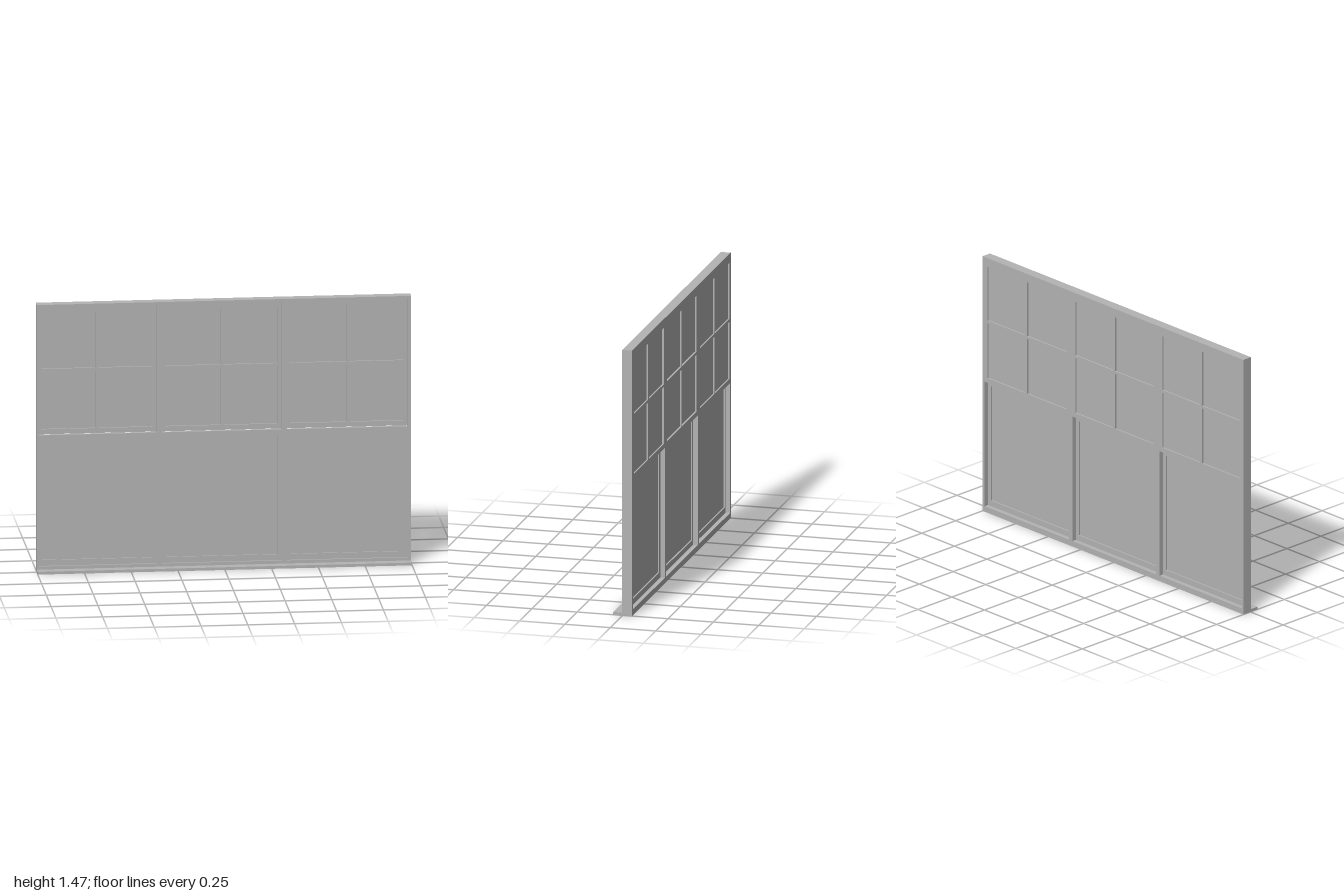
import * as THREE from 'three';

const grey = new THREE.MeshStandardMaterial({ color: 0xb4b4b4 });
grey.name = 'grey';

// Each bay: opening left/right, pane left/right, centre glazing bar left/right
const BAYS = [
  { open: [-0.988, -0.358], pane: [-0.972, -0.379], bar: [-0.684, -0.668] },
  { open: [-0.331, 0.31], pane: [-0.31, 0.288], bar: [-0.016, 0.0] },
  { open: [0.337, 0.983], pane: [0.358, 0.962], bar: [0.657, 0.673] },
];
const BOTTOM = 0.032, MEET = 0.748, TOP = 1.453, HEIGHT = 1.465;
const BACK = -0.052, FRONT = 0.003;

function rect(path, [x0, x1], [y0, y1]) {
  path.moveTo(x0, y0);
  path.lineTo(x1, y0);
  path.lineTo(x1, y1);
  path.lineTo(x0, y1);
  path.closePath();
  return path;
}

// Flat panel with rectangular holes, extruded between two depths
function panel(name, xs, ys, [z0, z1], holes) {
  const shape = rect(new THREE.Shape(), xs, ys);
  for (const [hx, hy] of holes) shape.holes.push(rect(new THREE.Path(), hx, hy));
  const geometry = new THREE.ExtrudeGeometry(shape, { depth: z1 - z0, bevelEnabled: false });
  geometry.translate(0, 0, z0);
  const mesh = new THREE.Mesh(geometry, grey);
  mesh.name = name;
  return mesh;
}

function box(name, [x0, x1], [y0, y1], [z0, z1]) {
  const mesh = new THREE.Mesh(new THREE.BoxGeometry(x1 - x0, y1 - y0, z1 - z0), grey);
  mesh.position.set((x0 + x1) / 2, (y0 + y1) / 2, (z0 + z1) / 2);
  mesh.name = name;
  return mesh;
}

export function createModel() {
  const model = new THREE.Group();
  model.name = 'tripleSashWindow';

  // Outer frame with mullions, and the projecting sill
  model.add(panel('frame', [-1, 1], [0, HEIGHT], [BACK, FRONT],
    BAYS.map((b) => [b.open, [BOTTOM, TOP]])));
  model.add(box('sill', [-1, 1], [0, 0.015], [FRONT, 0.052]));

  for (const { open, pane, bar } of BAYS) {
    const bay = new THREE.Group();
    bay.name = 'windowBay';

    // Lower sash sits toward the front with one large pane
    const lowerPane = [0.064, 0.721];
    bay.add(panel('lowerSash', open, [BOTTOM, MEET], [-0.027, -0.008], [[pane, lowerPane]]));
    bay.add(box('lowerGlass', pane, lowerPane, [-0.019, -0.016]));

    // Upper sash is flush with the back and split into four panes
    const columns = [[pane[0], bar[0]], [bar[1], pane[1]]];
    const rows = [[0.775, 1.09], [1.106, 1.416]];
    const panes = columns.flatMap((c) => rows.map((r) => [c, r]));
    bay.add(panel('upperSash', open, [MEET, TOP], [BACK, -0.03], panes));
    for (const [c, r] of panes) bay.add(box('upperGlass', c, r, [-0.043, -0.04]));

    model.add(bay);
  }
  return model;
}
